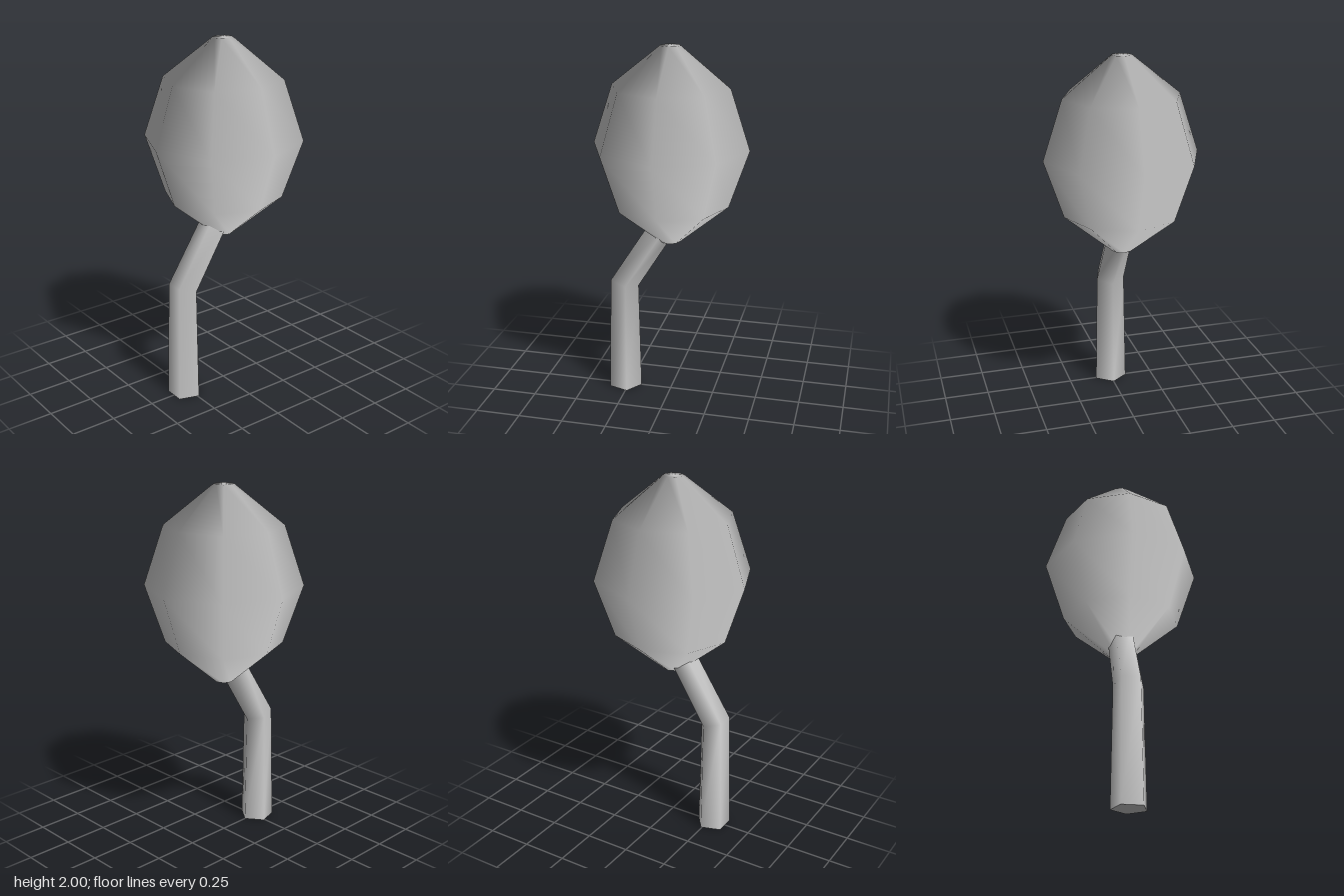
import * as THREE from 'three';

const grey = new THREE.MeshStandardMaterial({ color: 0xcccccc });
grey.name = 'light grey';

// Eight-sided crown, shaded smoothly around the vertical axis
function makeCrown() {
  const profile = [[0, 0.92], [0.055, 0.92], [0.322, 1.14], [0.43, 1.46], [0.322, 1.785], [0.055, 2], [0, 2]]
    .map(([r, y]) => new THREE.Vector2(r, y));
  const geometry = new THREE.LatheGeometry(profile, 8);
  const { position, normal } = geometry.attributes;
  for (let i = 0; i < position.count; i++) {
    const x = position.getX(i), y = position.getY(i), z = position.getZ(i);
    const r = Math.hypot(x, z);
    if (r > 0.01) normal.setXYZ(i, x / r, 0, z / r);
    else normal.setXYZ(i, 0, y > 1.46 ? 1 : -1, 0);
  }
  return geometry;
}

// Five-sided bent trunk lofted through rings: centre x, y, radius, lean from vertical
function makeTrunk() {
  const sides = 5;
  const rings = [
    [-0.272, 0, 0.097, 0],
    [-0.269, 0.655, 0.085, 0.25],
    [-0.02, 1.05, 0.078, 0.55],
  ];
  const points = [], index = [];
  for (const [cx, cy, r, lean] of rings) {
    for (let j = 0; j < sides; j++) {
      const a = (j / sides) * Math.PI * 2;
      const u = r * Math.cos(a);
      points.push(cx + u * Math.cos(lean), cy - u * Math.sin(lean), r * Math.sin(a));
    }
  }
  for (let i = 0; i < rings.length - 1; i++) {
    for (let j = 0; j < sides; j++) {
      const a = i * sides + j, b = i * sides + (j + 1) % sides;
      index.push(a, a + sides, b, b, a + sides, b + sides);
    }
  }
  const geometry = new THREE.BufferGeometry();
  geometry.setAttribute('position', new THREE.Float32BufferAttribute(points, 3));
  geometry.setIndex(index);
  geometry.computeVertexNormals();
  return geometry;
}

export function createModel() {
  const model = new THREE.Group();
  model.name = 'tree';
  const add = (name, geometry) => {
    const mesh = new THREE.Mesh(geometry, grey);
    mesh.name = name;
    model.add(mesh);
    return mesh;
  };
  add('crown', makeCrown());
  add('trunk', makeTrunk());

  // Flat underside of the trunk, with one corner towards +x
  const base = add('trunkBase', new THREE.CircleGeometry(0.097, 5));
  base.rotation.x = Math.PI / 2;
  base.position.x = -0.272;
  return model;
}
